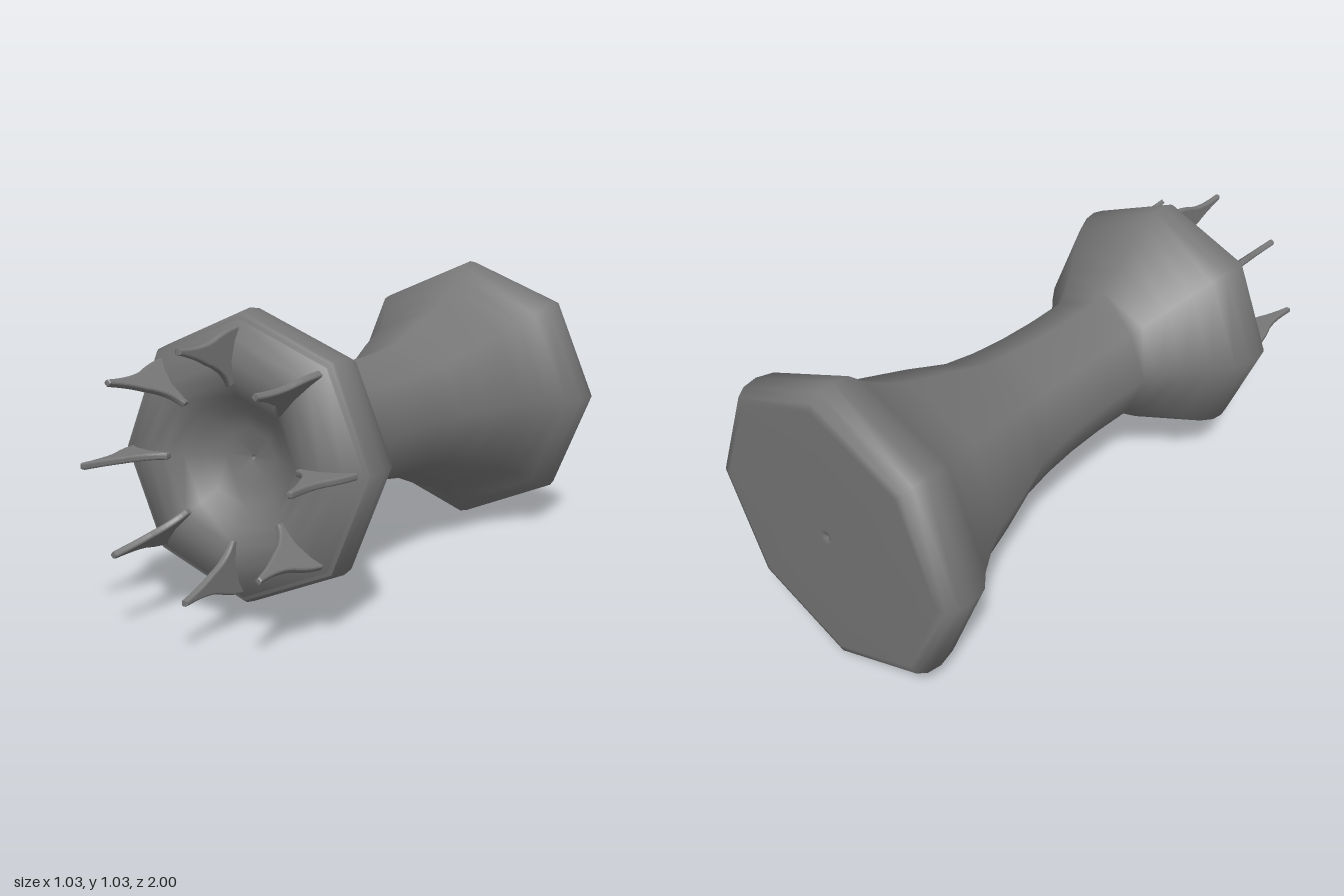
import * as THREE from 'three';

const CENTER_Y = 0.515;

export function createModel() {
  const model = new THREE.Group();
  const material = new THREE.MeshStandardMaterial({ color: 0x777777 });

  // Eight-sided handle: [radius, z] from the closed back to the dished front;
  // close pairs of points keep the two rim edges crisp
  const profile = [
    [0, -0.99], [0.015, -0.998], [0.03, -1], [0.25, -1], [0.46, -1], [0.488, -0.993],
    [0.508, -0.96], [0.515, -0.91], [0.503, -0.85], [0.46, -0.8], [0.41, -0.72],
    [0.36, -0.62], [0.305, -0.44], [0.255, -0.3], [0.237, -0.18], [0.227, -0.05],
    [0.224, 0.1], [0.228, 0.26], [0.25, 0.31], [0.305, 0.39], [0.37, 0.47],
    [0.42, 0.54], [0.446, 0.6], [0.452, 0.65], [0.444, 0.69], [0.437, 0.703],
    [0.435, 0.705], [0.424, 0.709], [0.422, 0.711], [0.37, 0.745], [0.31, 0.764],
    [0.25, 0.757], [0.2, 0.725], [0.15, 0.685], [0.09, 0.655], [0.01, 0.645], [0, 0.635],
  ].map(([r, z]) => new THREE.Vector2(r, z));
  const bodyGeometry = new THREE.LatheGeometry(profile, 8).rotateX(Math.PI / 2);
  const body = new THREE.Mesh(bodyGeometry, material);
  body.name = 'octagonalBody';
  body.position.y = CENTER_Y;
  model.add(body);

  // Thin curved claw drawn as radius against z
  const claw = new THREE.Shape();
  claw.moveTo(0.245, 0.69);
  claw.lineTo(0.4, 0.69);
  claw.quadraticCurveTo(0.4, 0.76, 0.368, 0.84);
  claw.quadraticCurveTo(0.35, 0.9, 0.359, 0.993);
  claw.lineTo(0.355, 0.993);
  claw.quadraticCurveTo(0.337, 0.92, 0.312, 0.87);
  claw.quadraticCurveTo(0.285, 0.79, 0.237, 0.765);
  claw.closePath();
  const clawGeometry = new THREE.ExtrudeGeometry(claw, {
    depth: 0.008, curveSegments: 8,
    bevelEnabled: true, bevelThickness: 0.007, bevelSize: 0.007, bevelSegments: 3,
  });
  clawGeometry.translate(0, 0, -0.004).rotateX(Math.PI / 2);

  // Ring of claws, one on each corner of the front rim
  const claws = new THREE.Group();
  claws.name = 'frontClaws';
  claws.position.y = CENTER_Y;
  for (let i = 0; i < 8; i++) {
    const mesh = new THREE.Mesh(clawGeometry, material);
    mesh.name = `claw${i + 1}`;
    mesh.rotation.z = (i * Math.PI) / 4;
    claws.add(mesh);
  }
  model.add(claws);

  return model;
}
